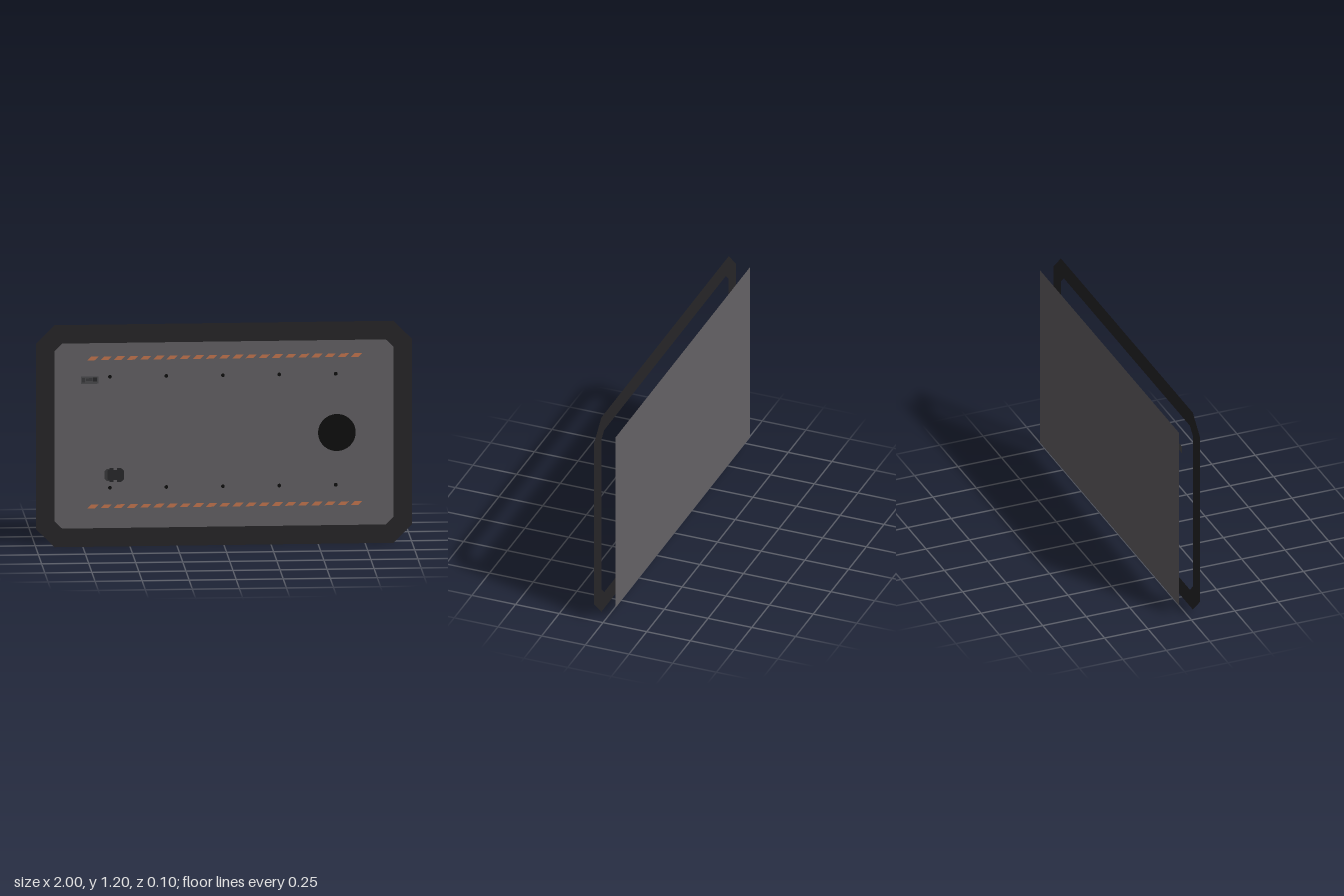
import * as THREE from 'three';

const FRONT = 0.05, BACK = -0.05, INLAY = -0.04;

const mat = (color) => new THREE.MeshStandardMaterial({ color, side: THREE.DoubleSide });
const materials = {
  frame: mat(0x262528), panel: mat(0x656266), slot: mat(0xc87850), hole: mat(0x0c0c0c),
  plate: mat(0x4c4c4e), dark: mat(0x28282a), mid: mat(0x3a3a3c),
};

// Corner points of a rectangle with cut corners, centred on (cx, cy)
function cutRect(w, h, cut, cx = 0, cy = 0.6) {
  const x = w / 2, y = h / 2, c = cut;
  return [[x - c, -y], [x, -y + c], [x, y - c], [x - c, y], [-x + c, y], [-x, y - c], [-x, -y + c], [-x + c, -y]]
    .map(([a, b]) => new THREE.Vector2(a + cx, b + cy));
}

export function createModel() {
  const model = new THREE.Group();
  model.name = 'wallPanel';

  const add = (name, geometry, material, x, y, z, parent = model) => {
    const mesh = new THREE.Mesh(geometry, material);
    mesh.name = name;
    mesh.position.set(x, y, z);
    parent.add(mesh);
    return mesh;
  };
  const rect = (name, w, h, material, x, y, z, parent) =>
    add(name, new THREE.PlaneGeometry(w, h), material, x, y, z, parent);

  // Bevelled border standing in front of the panel
  const border = new THREE.Shape(cutRect(2, 1.2, 0.1));
  border.holes.push(new THREE.Path(cutRect(1.8, 1, 0.04).reverse()));
  add('frame', new THREE.ShapeGeometry(border), materials.frame, 0, 0, FRONT);

  // Back sheet
  rect('backPanel', 1.9, 1.05, materials.panel, 0, 0.6, BACK);

  // Two rows of slanted slots
  const slot = new THREE.ShapeGeometry(new THREE.Shape(
    [[-0.02, -0.01], [0.02, -0.01], [0.04, 0.01], [0, 0.01]].map((p) => new THREE.Vector2(...p))));
  const slots = new THREE.Group();
  slots.name = 'slots';
  model.add(slots);
  for (const y of [0.2, 1])
    for (let i = 0; i < 21; i++) add('slot', slot, materials.slot, -0.7 + i * 0.07, y, INLAY, slots);

  // Two rows of screw holes
  const screw = new THREE.CircleGeometry(0.01, 16);
  const screws = new THREE.Group();
  screws.name = 'screwHoles';
  model.add(screws);
  for (const y of [0.3, 0.9])
    for (let i = -2; i <= 2; i++) add('screwHole', screw, materials.hole, i * 0.3, y, INLAY, screws);

  // Large round opening
  add('roundOpening', new THREE.CircleGeometry(0.1, 48), materials.hole, 0.6, 0.6, FRONT);

  // Small switch plate
  const switches = new THREE.Group();
  switches.name = 'switchPlate';
  switches.position.set(-0.713, 0.9, FRONT - 0.003);
  model.add(switches);
  rect('plate', 0.095, 0.04, materials.plate, 0, 0, 0, switches);
  rect('switch', 0.016, 0.026, materials.mid, -0.034, 0, 0.001, switches);
  rect('display', 0.035, 0.015, materials.mid, -0.003, 0.003, 0.001, switches);
  rect('button', 0.02, 0.022, materials.dark, 0.028, 0.003, 0.001, switches);

  // Small connector: body, rounded end and four corner pads
  const connector = new THREE.Group();
  connector.name = 'connector';
  connector.position.set(-0.582, 0.385, FRONT - 0.01);
  model.add(connector);
  const flat = (name, w, h, cut, material, x, z) =>
    add(name, new THREE.ShapeGeometry(new THREE.Shape(cutRect(w, h, cut, 0, 0))), material, x, 0, z, connector);
  flat('endCap', 0.04, 0.064, 0.012, materials.mid, -0.033, 0);
  flat('body', 0.075, 0.054, 0.004, materials.dark, 0, 0.001);
  flat('plug', 0.036, 0.064, 0.01, materials.dark, 0.034, 0.002);
  for (const x of [-0.016, 0.026])
    for (const y of [-0.031, 0.031]) rect('pad', 0.022, 0.014, materials.dark, x, y, 0.003, connector);

  return model;
}
